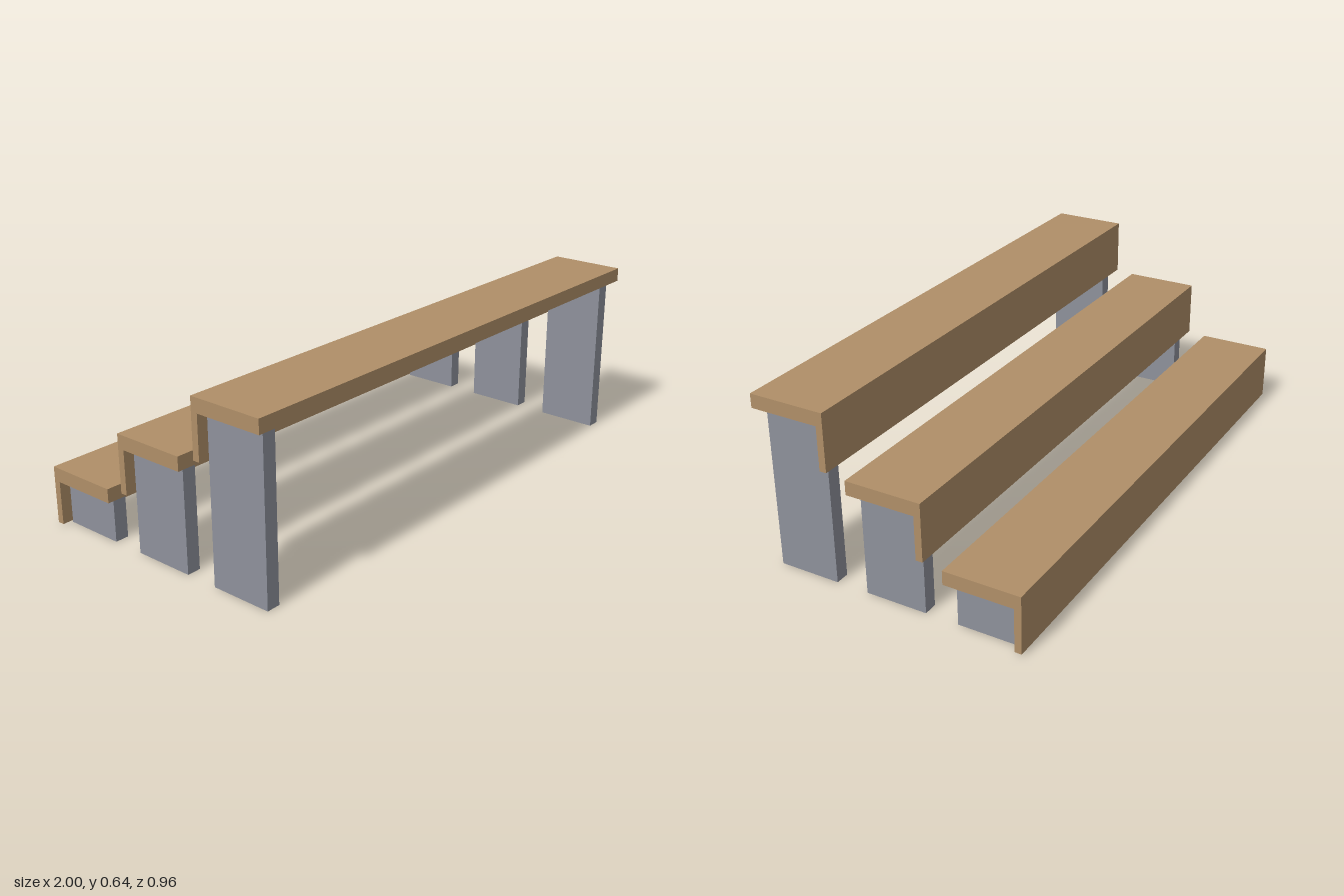
import * as THREE from 'three';

const LENGTH = 2, DEPTH = 0.275, RISE = 0.213, RUN = 0.344;
const TREAD = 0.05, RISER = 0.025, DROP = 0.206; // board thicknesses and full riser height

export function createModel() {
  const model = new THREE.Group();
  model.name = 'steppedBench';
  const wood = new THREE.MeshStandardMaterial({ color: 0xb08f68 });
  const metal = new THREE.MeshStandardMaterial({ color: 0x8e919b });

  // L-shaped step section (z across, y up): flat tread with a riser at its back edge
  const h = DEPTH / 2;
  const section = new THREE.Shape([
    [-h, 0], [-h, -DROP], [-h + RISER, -DROP], [-h + RISER, -TREAD], [h, -TREAD], [h, 0],
  ].map(([z, y]) => new THREE.Vector2(z, y)));
  const stepGeometry = new THREE.ExtrudeGeometry(section, { depth: LENGTH, bevelEnabled: false });
  stepGeometry.translate(0, 0, -LENGTH / 2).rotateY(-Math.PI / 2);

  // Three steps, rising toward the front
  for (let i = 0; i < 3; i++) {
    const row = new THREE.Group();
    row.name = `row${i + 1}`;
    row.position.z = (i - 1) * RUN;
    const top = RISE * (i + 1);

    const step = new THREE.Mesh(stepGeometry, wood);
    step.name = 'step';
    step.position.y = top;
    row.add(step);

    // Slab legs near both ends, set against the riser
    const legHeight = top - TREAD;
    const legGeometry = new THREE.BoxGeometry(0.05, legHeight, 0.225);
    for (const side of [-1, 1]) {
      const leg = new THREE.Mesh(legGeometry, metal);
      leg.name = side > 0 ? 'leftLeg' : 'rightLeg';
      leg.position.set(side * 0.935, legHeight / 2, 0);
      row.add(leg);
    }
    model.add(row);
  }
  return model;
}
